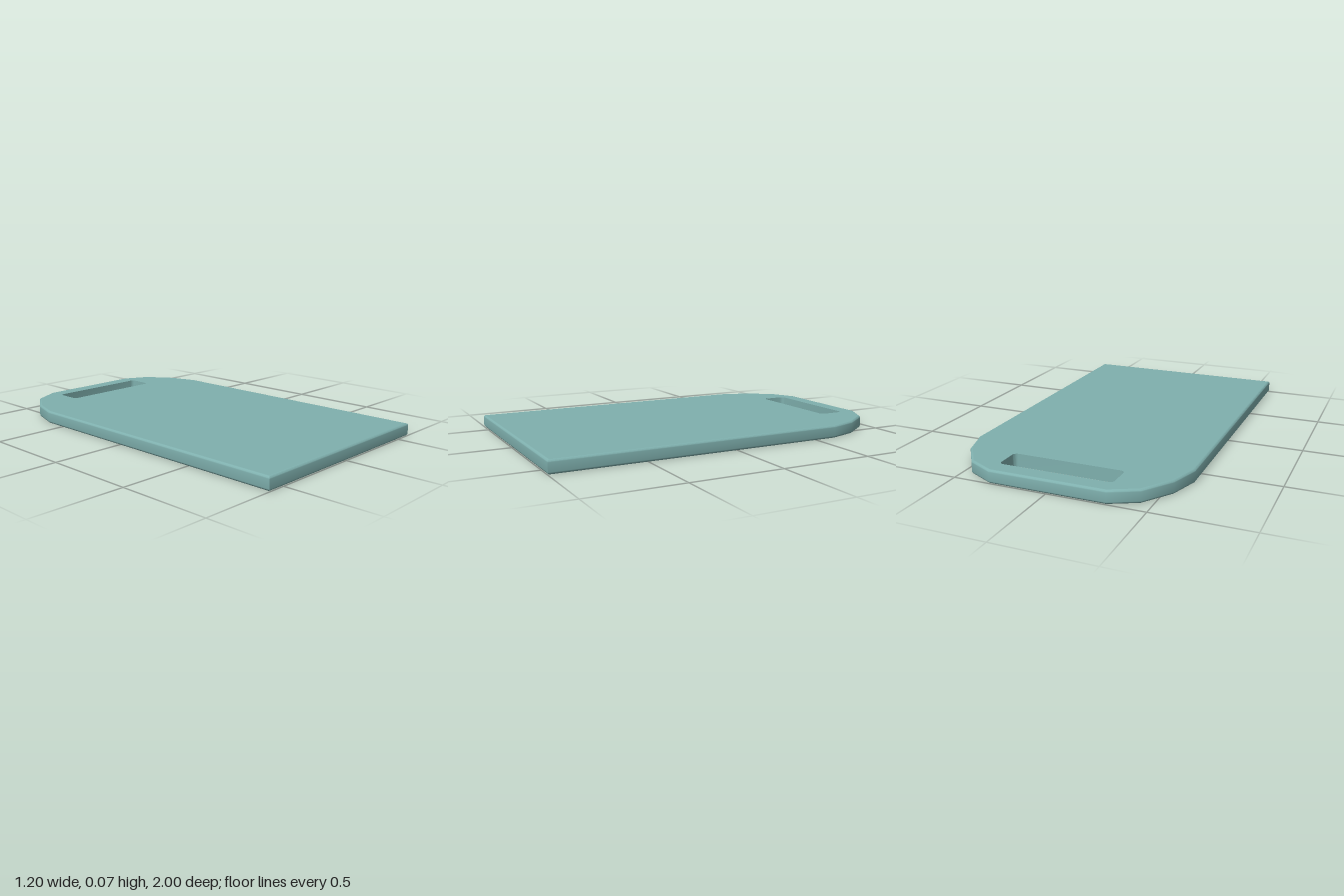
import * as THREE from 'three';
import { mergeGeometries, toCreasedNormals } from 'three/addons/utils/BufferGeometryUtils.js';

const THICK = 0.07, BEVEL = 0.012;

// Board outline as (x, z), counter-clockwise seen from above
const right = [[0.6, 1], [0.6, -0.62], [0.55, -0.78], [0.445, -0.93], [0.305, -1]];
const outline = [...right, ...right.map(([x, z]) => [-x, z]).reverse()]
  .map(([x, z]) => new THREE.Vector2(x, z));

// Handle slot with small rounded corners, same direction
function slotPoints(halfW, zNear, zFar, r) {
  const corners = [[1, zNear - r, 90], [1, zFar + r, 0], [-1, zFar + r, -90], [-1, zNear - r, -180]];
  return corners.flatMap(([s, z, start]) => Array.from({ length: 5 }, (_, i) => {
    const a = THREE.MathUtils.degToRad(start - i * 22.5);
    return new THREE.Vector2(s * (halfW - r) + r * Math.cos(a), z + r * Math.sin(a));
  }));
}
const slot = slotPoints(0.3, -0.765, -0.91, 0.022);

// Moves every edge of a convex outline inwards by d
function inset(pts, d) {
  const normal = (a, b) => new THREE.Vector2(a.y - b.y, b.x - a.x).normalize();
  return pts.map((p, i) => {
    const n1 = normal(pts.at(i - 1), p), n2 = normal(p, pts[(i + 1) % pts.length]);
    return p.clone().addScaledVector(n1.clone().add(n2), -d / (1 + n1.dot(n2)));
  });
}

// Wall through closed rings of equal length, listed from bottom to top
function loft(rings) {
  const n = rings[0].pts.length, pos = [], idx = [];
  rings.forEach(({ pts, y }) => pts.forEach(p => pos.push(p.x, y, p.y)));
  for (let j = 0; j < rings.length - 1; j++) {
    for (let i = 0; i < n; i++) {
      const a = j * n + i, b = j * n + (i + 1) % n;
      idx.push(a, b, b + n, a, b + n, a + n);
    }
  }
  const g = new THREE.BufferGeometry();
  g.setAttribute('position', new THREE.Float32BufferAttribute(pos, 3));
  g.setIndex(idx);
  return toCreasedNormals(g, 0.6);
}

// Flat face with the slot cut out; side is 1 for the top and -1 for the bottom
function face(side) {
  const flip = pts => pts.map(p => new THREE.Vector2(p.x, -side * p.y));
  const shape = new THREE.Shape(flip(inset(outline, BEVEL)));
  shape.holes.push(new THREE.Path(flip(slot)));
  const g = new THREE.ShapeGeometry(shape).rotateX(-side * Math.PI / 2);
  g.translate(0, side > 0 ? THICK : 0, 0);
  g.deleteAttribute('uv');
  return g.toNonIndexed();
}

export function createModel() {
  const group = new THREE.Group();
  group.name = 'cuttingBoard';
  const material = new THREE.MeshStandardMaterial({ color: 0x7fb0ae });
  const add = (name, geometry) => {
    const mesh = new THREE.Mesh(geometry, material);
    mesh.name = name;
    group.add(mesh);
  };

  // Rounded rim: quarter-round bevel at the bottom and at the top
  const steps = 4, lower = [], upper = [];
  for (let i = 0; i <= steps; i++) {
    const a = (i / steps) * Math.PI / 2;
    const pts = inset(outline, BEVEL * (1 - Math.sin(a)));
    const y = BEVEL * (1 - Math.cos(a));
    lower.push({ pts, y });
    upper.unshift({ pts, y: THICK - y });
  }
  add('rim', loft([...lower, ...upper]));

  // Top and bottom faces
  add('boardFaces', mergeGeometries([face(1), face(-1)]));

  // Inner wall of the handle slot
  const inner = [...slot].reverse();
  add('handleSlot', loft([{ pts: inner, y: 0 }, { pts: inner, y: THICK }]));
  return group;
}
